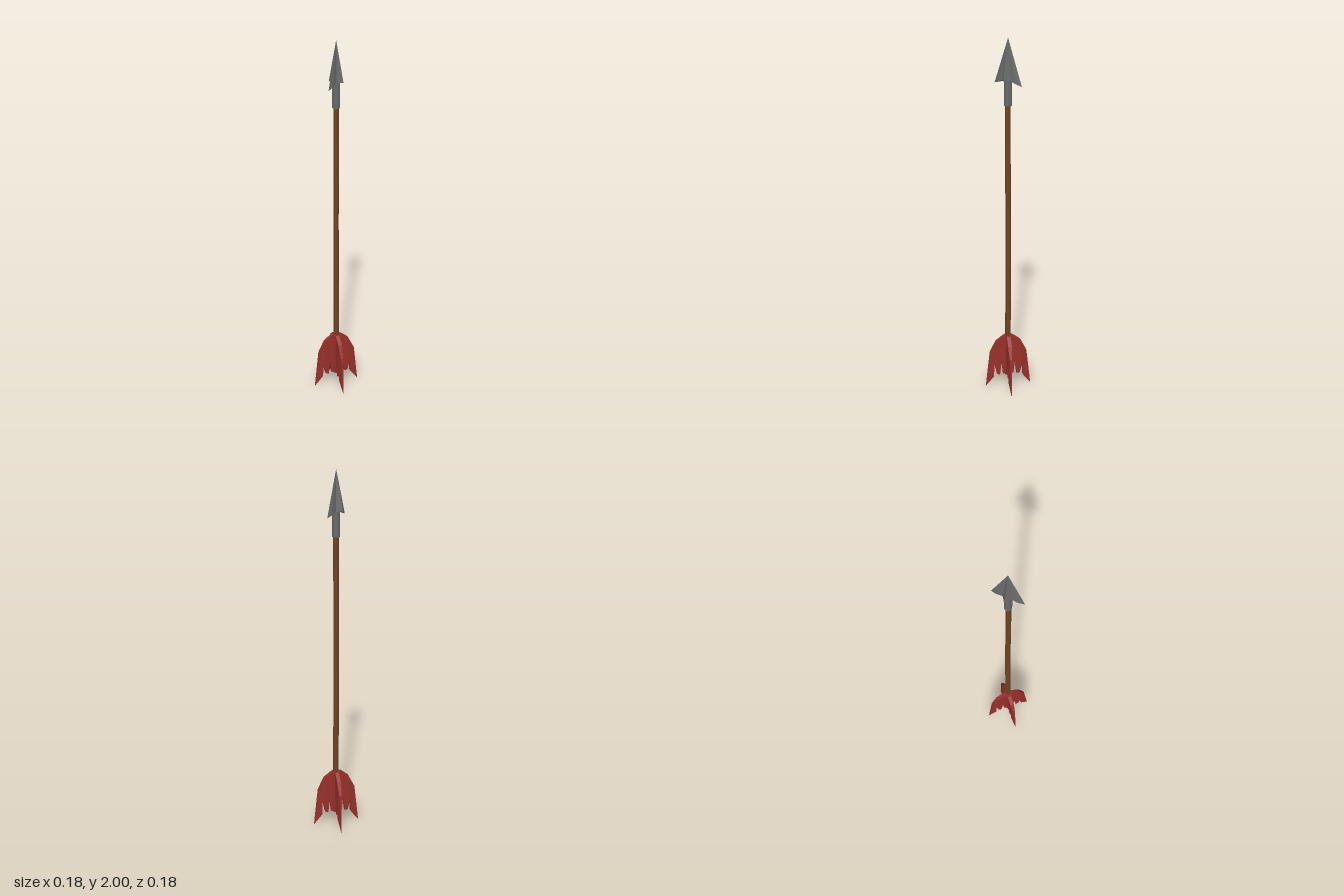
import * as THREE from 'three';

function material(name, color) {
  const m = new THREE.MeshStandardMaterial({ color, flatShading: true });
  m.name = name;
  return m;
}

function addMesh(parent, name, geometry, mat) {
  const mesh = new THREE.Mesh(geometry, mat);
  mesh.name = name;
  parent.add(mesh);
  return mesh;
}

// Star-shaped pyramid: short ridges along x, long swept-back blades along z
function headGeometry() {
  const quarter = [[0, 0.085, 1.765], [0.01, 0.055, 1.776], [0.013, 0.022, 1.79], [0.041, 0, 1.79]];
  const mirror = (sx, sz) => quarter.map(([x, z, y]) => new THREE.Vector3(x * sx, y, z * sz));
  const loop = [
    ...mirror(1, 1),
    ...mirror(1, -1).reverse().slice(1),
    ...mirror(-1, -1).slice(1),
    ...mirror(-1, 1).reverse().slice(1, -1),
  ];
  const apex = new THREE.Vector3(0, 2, 0);
  const base = new THREE.Vector3(0, 1.79, 0);
  const points = [];
  loop.forEach((p, i) => {
    const q = loop[(i + 1) % loop.length];
    points.push(apex, p, q, base, q, p);
  });
  const g = new THREE.BufferGeometry().setFromPoints(points);
  g.computeVertexNormals();
  return g;
}

// Ragged feather, thick near the shaft and thinning to its outer edge
function vaneGeometry() {
  const outline = [
    [0.005, 0.33], [0.025, 0.33], [0.07, 0.295], [0.105, 0.225], [0.13, 0.005],
    [0.083, 0.07], [0.08, 0.15], [0.066, 0.085], [0.048, 0.08],
    [0.038, 0.165], [0.03, 0.085], [0.005, 0.085],
  ].map(([r, y]) => new THREE.Vector2(r, y));
  const g = new THREE.ExtrudeGeometry(new THREE.Shape(outline), { depth: 1, bevelEnabled: false });
  const pos = g.attributes.position;
  for (let i = 0; i < pos.count; i++) {
    const r = pos.getX(i);
    const half = r < 0.085 ? 0.011 : THREE.MathUtils.mapLinear(r, 0.085, 0.13, 0.011, 0.0008);
    pos.setZ(i, pos.getZ(i) > 0.5 ? half : -half);
  }
  g.computeVertexNormals();
  return g;
}

// Wooden rod with a very slight waver along its length
function shaftGeometry() {
  const g = new THREE.CylinderGeometry(0.015, 0.016, 1.58, 8, 5);
  g.translate(0, 0.88, 0);
  const pos = g.attributes.position;
  for (let i = 0; i < pos.count; i++) {
    const y = pos.getY(i);
    pos.setX(i, pos.getX(i) + 0.0015 * Math.sin(y * 5));
    pos.setZ(i, pos.getZ(i) + 0.0015 * Math.cos(y * 4));
  }
  g.computeVertexNormals();
  return g;
}

export function createModel() {
  const steel = material('steel', 0x68696a);
  const wood = material('wood', 0x70431f);
  const red = material('red feather', 0x98302a);

  const model = new THREE.Group();
  model.name = 'arrow';
  const arrow = new THREE.Group();
  arrow.name = 'arrowBody';
  arrow.position.set(-0.003, 0, 0.002);
  model.add(arrow);

  // Head and socket
  addMesh(arrow, 'arrowHead', headGeometry(), steel);
  addMesh(arrow, 'headSocket', new THREE.CylinderGeometry(0.021, 0.021, 0.135, 8), steel).position.y = 1.7255;

  // Shaft
  addMesh(arrow, 'shaft', shaftGeometry(), wood);

  // Fletching: wrapped collar and four diagonal vanes
  addMesh(arrow, 'fletchingCollar', new THREE.CylinderGeometry(0.024, 0.022, 0.25, 8), red).position.y = 0.205;
  const vane = vaneGeometry();
  for (let i = 0; i < 4; i++) {
    addMesh(arrow, 'vane' + (i + 1), vane, red).rotation.y = Math.PI / 4 + (i * Math.PI) / 2;
  }
  return model;
}
